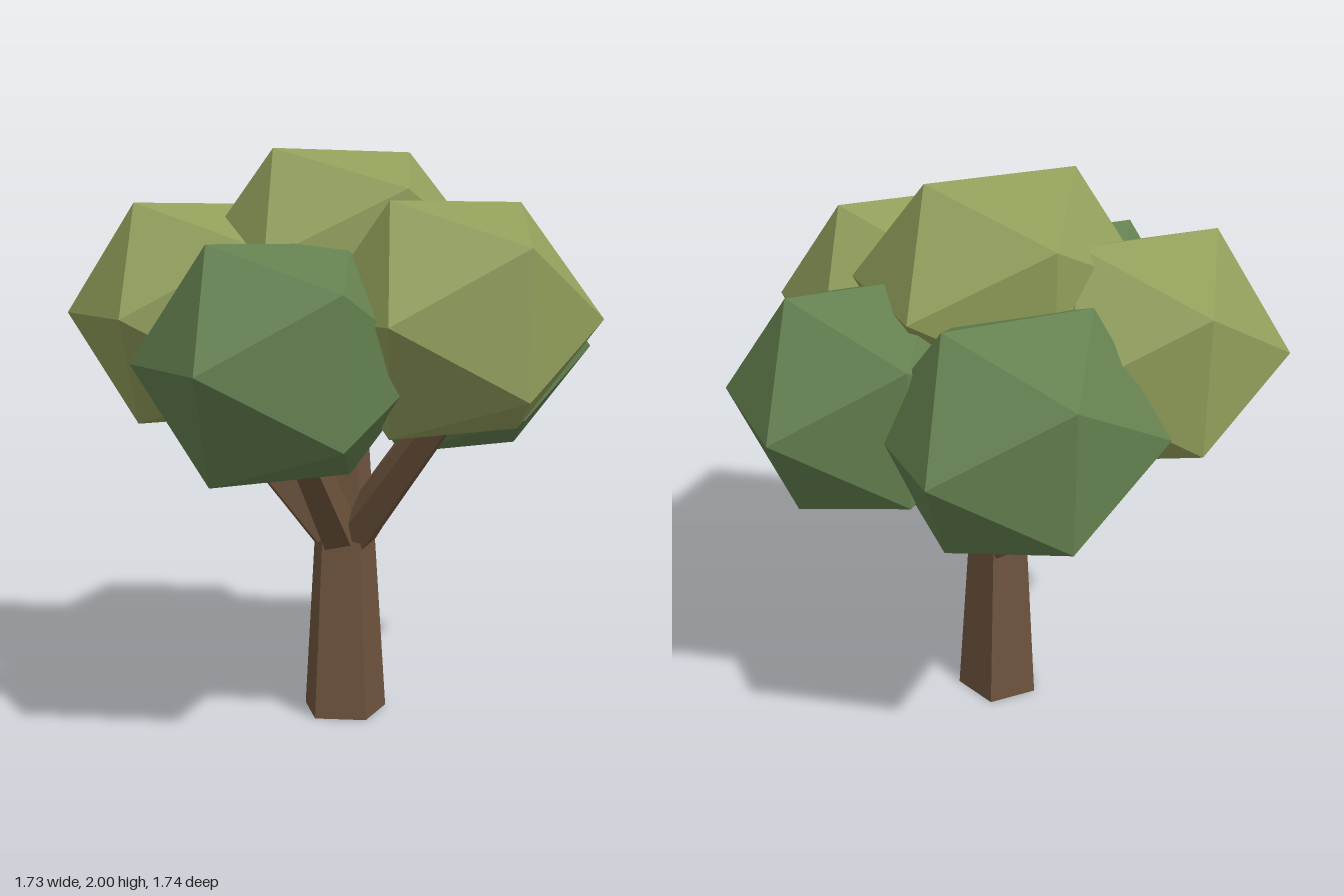
import * as THREE from 'three';

export function createModel() {
  const tree = new THREE.Group();
  tree.name = 'tree';

  const material = (name, color) => {
    const m = new THREE.MeshStandardMaterial({ color });
    m.name = name;
    return m;
  };
  const bark = material('bark', 0x6e543d);
  const green = material('darkLeaves', 0x64804f);
  const olive = material('lightLeaves', 0x919e5a);

  const add = (name, geometry, mat) => {
    const flat = geometry.index ? geometry.toNonIndexed() : geometry;
    flat.computeVertexNormals(); // faceted low-poly normals
    const mesh = new THREE.Mesh(flat, mat);
    mesh.name = name;
    tree.add(mesh);
    return mesh;
  };

  const trunkX = -0.05;

  // Five-sided tapered trunk, its top hidden under the crown
  add('trunk', new THREE.CylinderGeometry(0.092, 0.155, 0.99, 5), bark)
    .position.set(trunkX, 0.495, 0);

  // Faceted clump of leaves
  const clump = (name, x, y, z, sx, sy, sz, mat) => {
    const geometry = new THREE.IcosahedronGeometry(1, 0).scale(sx, sy, sz);
    add(name, geometry, mat).position.set(x, y, z);
  };

  // Five branches in a ring, each carrying a clump of alternating height
  const up = new THREE.Vector3(0, 1, 0);
  const lean = THREE.MathUtils.degToRad(40.5);
  const length = 0.65;
  for (let i = 0; i < 5; i++) {
    const a = (i * Math.PI * 2) / 5;
    const cos = Math.cos(a), sin = Math.sin(a);

    const dir = new THREE.Vector3(cos * Math.sin(lean), Math.cos(lean), sin * Math.sin(lean));
    const geometry = new THREE.CylinderGeometry(0.056, 0.08, length, 5).translate(0, length / 2, 0);
    const branch = add('branch' + (i + 1), geometry, bark);
    branch.position.set(trunkX + 0.05 * cos, 0.66, 0.05 * sin);
    branch.quaternion.setFromUnitVectors(up, dir);

    const high = i % 2 === 1;
    clump('leafClump' + (i + 1), trunkX + 0.495 * cos, high ? 1.44 : 1.305, 0.495 * sin,
      0.488, 0.447, 0.472, high ? olive : green);
  }

  // Top clump
  clump('topLeafClump', trunkX, 1.634, 0, 0.517, 0.43, 0.491, olive);

  return tree;
}
